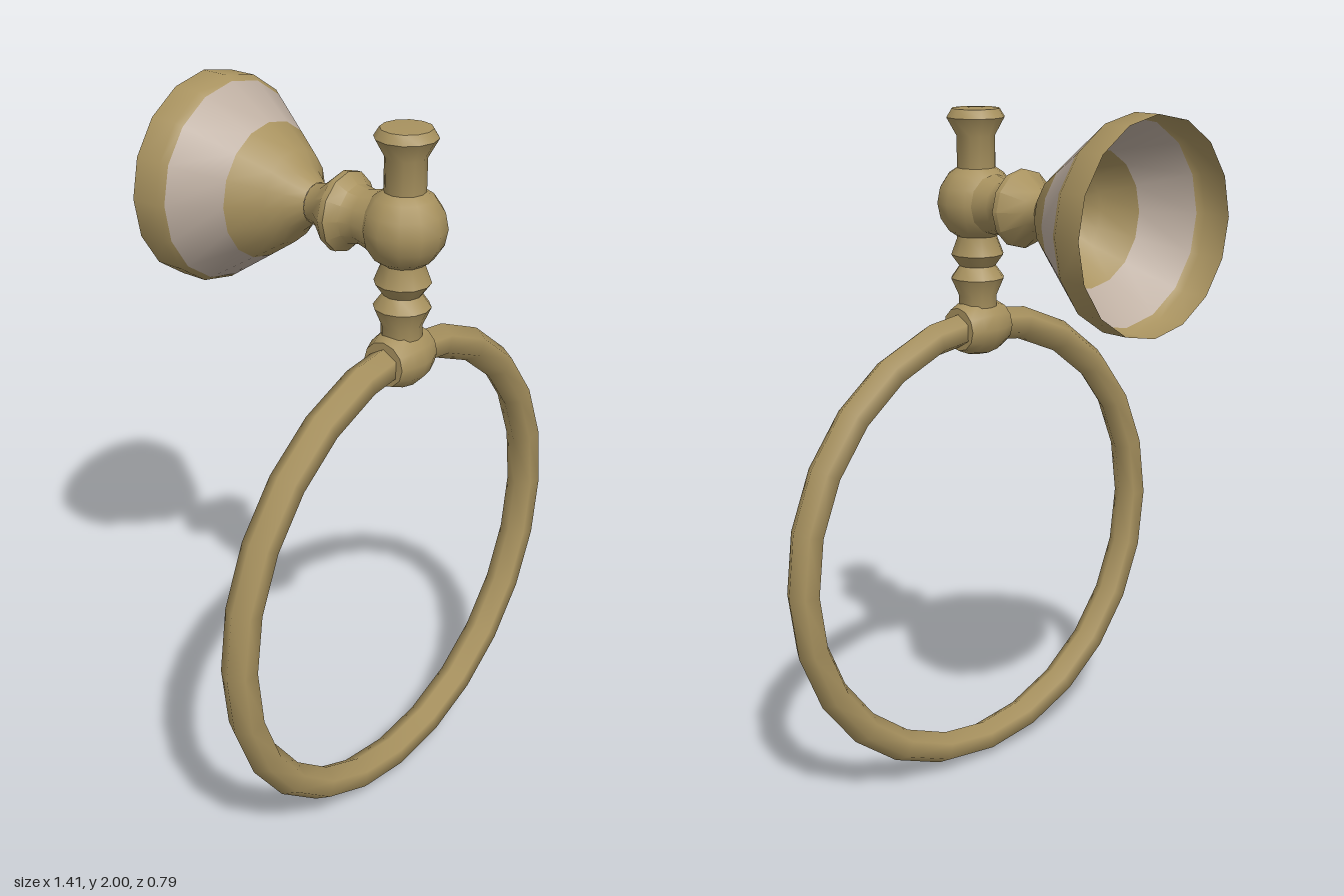
import * as THREE from 'three';
import { toCreasedNormals } from 'three/addons/utils/BufferGeometryUtils.js';

export function createModel() {
  const model = new THREE.Group();
  model.name = 'towelRing';
  const brass = new THREE.MeshStandardMaterial({ color: 0xa8925f, side: THREE.DoubleSide });
  brass.name = 'brass';
  const satin = new THREE.MeshStandardMaterial({ color: 0xbcada0, side: THREE.DoubleSide });
  satin.name = 'satinNickel';

  const Y = 1.715; // height of the wall arm
  const Z = 0.282; // depth of the hanging post and ring

  const add = (name, geometry, material, x, y, z) => {
    const mesh = new THREE.Mesh(geometry, material);
    mesh.name = name;
    mesh.position.set(x, y, z);
    model.add(mesh);
    return mesh;
  };
  // Turned profile of [radius, distance along axis] pairs
  const turned = (points, sides) => toCreasedNormals(
    new THREE.LatheGeometry(points.map(([r, h]) => new THREE.Vector2(r, h)), sides), 0.72);
  const alongZ = (name, points, sides, material) =>
    add(name, turned(points, sides).rotateX(Math.PI / 2), material, 0, Y, 0);

  // Open wall bell, split at its colour bands
  alongZ('bellRim', [[0.286, -0.397], [0.286, -0.315], [0.273, -0.296]], 16, brass);
  alongZ('bellBand', [[0.273, -0.296], [0.186, -0.167]], 16, satin);
  alongZ('bellBase', [[0.186, -0.167], [0.127, -0.08], [0.088, -0.05], [0.054, -0.005]], 16, brass);

  // Arm with collar, running into the ball
  alongZ('arm', [
    [0.054, -0.005], [0.062, 0.03], [0.108, 0.085], [0.108, 0.102],
    [0.08, 0.13], [0.073, 0.165], [0.085, 0.21], [0.085, 0.26],
  ], 12, brass);
  add('ball', new THREE.SphereGeometry(0.113, 12, 8), brass, 0, Y, Z);

  // Finial on top of the ball
  add('finial', turned([
    [0.055, 1.78], [0.055, 1.9], [0.083, 1.95], [0.068, 1.974], [0, 1.977],
  ], 12), brass, 0, 0, Z);

  // Turned post below the ball
  add('post', turned([
    [0.055, 1.39], [0.055, 1.45], [0.077, 1.5], [0.052, 1.535],
    [0.076, 1.568], [0.058, 1.615], [0.058, 1.65],
  ], 12), brass, 0, 0, Z);

  // Barrel clasp gripping the ring
  add('clasp', turned([
    [0, -0.077], [0.062, -0.077], [0.077, -0.04], [0.084, 0],
    [0.077, 0.04], [0.062, 0.077], [0, 0.077],
  ], 12).rotateZ(-Math.PI / 2), brass, 0, 1.358, Z);

  // Hanging ring with a six-sided section
  add('ring', new THREE.TorusGeometry(0.658, 0.048, 6, 24).rotateZ(Math.PI / 2),
    brass, 0, 0.706, Z);

  return model;
}
